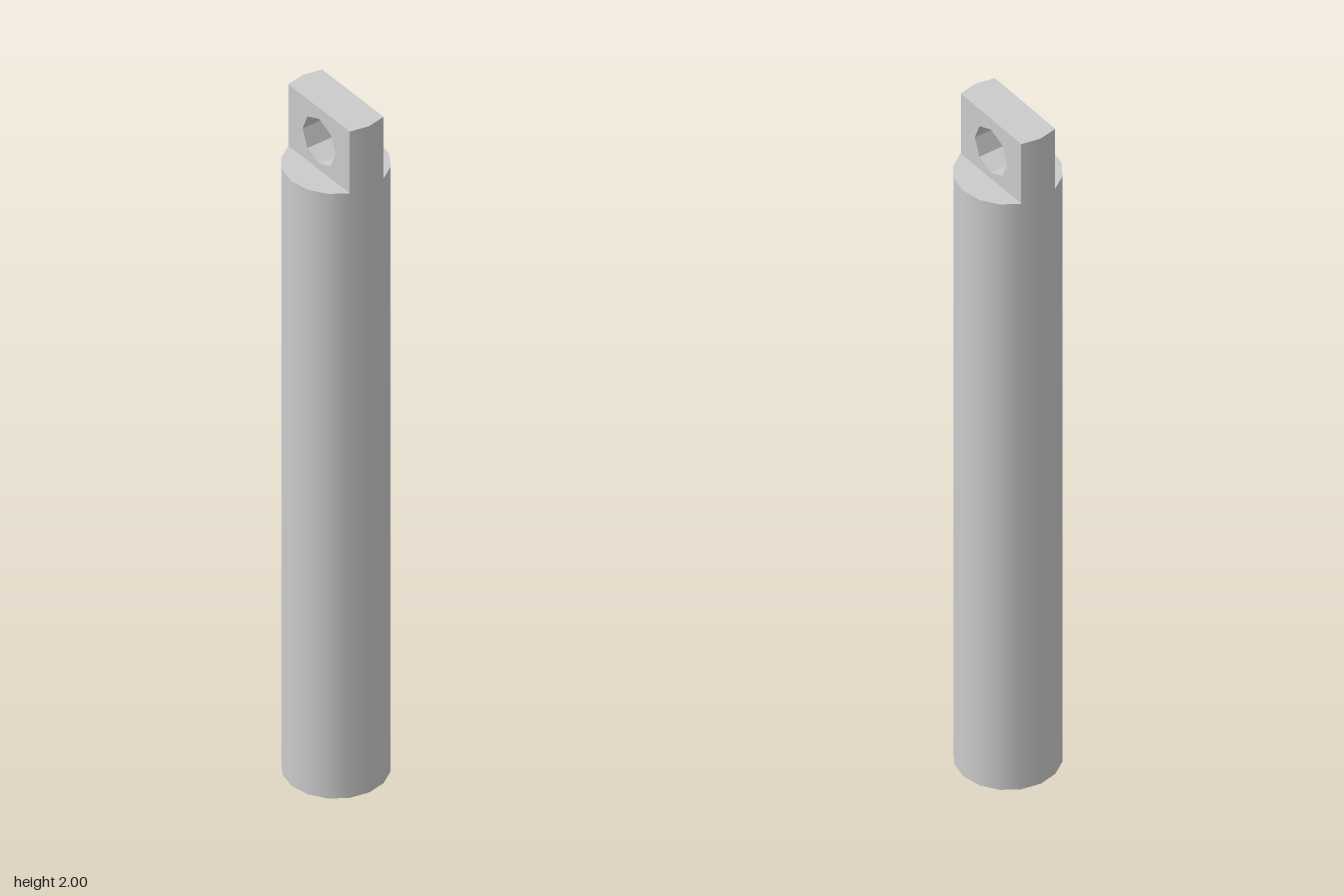
import * as THREE from 'three';

const R = 0.135, SIDES = 16;
const SHOULDER = 1.815, TOP = 2;
// The tongue's flat faces run through the first ring corners beside the x axis
const halfW = R * Math.cos(2 * Math.PI / SIDES);
const halfT = R * Math.sin(2 * Math.PI / SIDES);

function tongueGeometry() {
  const shape = new THREE.Shape([
    new THREE.Vector2(-halfW, SHOULDER), new THREE.Vector2(halfW, SHOULDER),
    new THREE.Vector2(halfW, TOP), new THREE.Vector2(-halfW, TOP),
  ]);
  // Eight-sided cross hole
  const hole = [];
  for (let i = 0; i < 8; i++) {
    const a = -i * Math.PI / 4;
    hole.push(new THREE.Vector2(0.067 * Math.cos(a), 1.9 + 0.067 * Math.sin(a)));
  }
  shape.holes.push(new THREE.Path(hole));

  const geo = new THREE.ExtrudeGeometry(shape, { depth: 2 * halfT, steps: 2, bevelEnabled: false });
  geo.translate(0, 0, -halfT);

  // Push the middle of each end out to the shaft's radius
  const pos = geo.attributes.position;
  for (let i = 0; i < pos.count; i++) {
    const x = pos.getX(i);
    if (Math.abs(x) > 0.1 && Math.abs(pos.getZ(i)) < 1e-4) pos.setX(i, Math.sign(x) * R);
  }
  geo.computeVertexNormals();

  // Round the shading of the two ends like the shaft
  const nor = geo.attributes.normal;
  for (let i = 0; i < pos.count; i++) {
    if (Math.abs(pos.getX(i)) > 0.1 && Math.abs(nor.getX(i)) > 0.9) {
      nor.setXYZ(i, pos.getX(i) / R, 0, pos.getZ(i) / R);
    }
  }
  return geo;
}

export function createModel() {
  const group = new THREE.Group();
  group.name = 'pinWithEye';
  const material = new THREE.MeshStandardMaterial({ color: 0xcccccc });

  // Round shaft
  const shaft = new THREE.Mesh(new THREE.CylinderGeometry(R, R, SHOULDER, SIDES), material);
  shaft.name = 'shaft';
  shaft.position.y = SHOULDER / 2;
  group.add(shaft);

  // Flat tongue with its cross hole
  const tongue = new THREE.Mesh(tongueGeometry(), material);
  tongue.name = 'tongue';
  group.add(tongue);

  return group;
}
